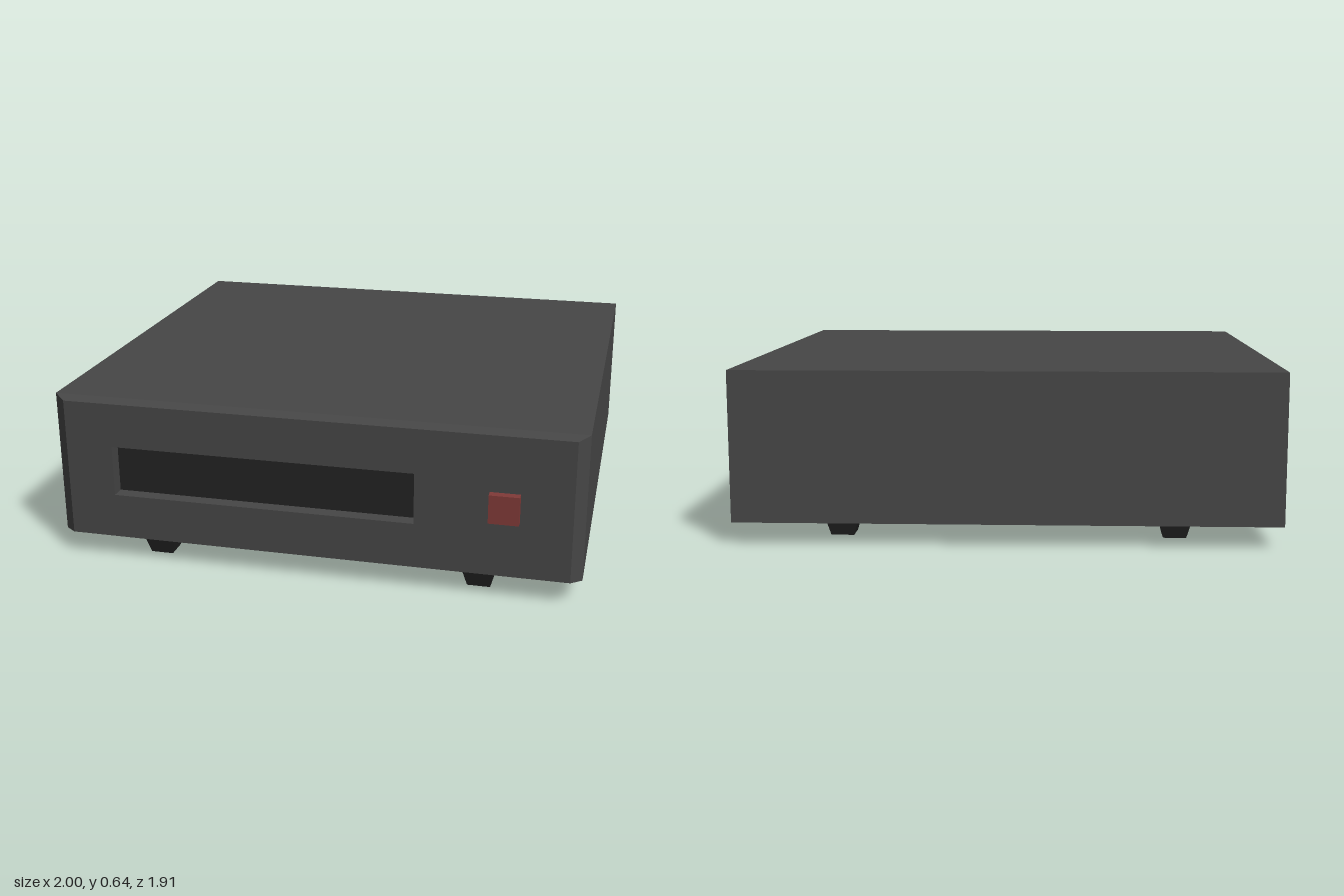
import * as THREE from 'three';

const mat = (color) => new THREE.MeshStandardMaterial({ color, flatShading: true });

// Skin over a row of rectangles [x0, x1, y0, y1, z], closed at the first one
function rectLoft(rects) {
  const loops = rects.map(([x0, x1, y0, y1, z]) => [[x0, y0, z], [x1, y0, z], [x1, y1, z], [x0, y1, z]]);
  const pos = [];
  const quad = (a, b, c, d) => pos.push(...a, ...b, ...c, ...a, ...c, ...d);
  const [p, q, r, s] = loops[0];
  quad(s, r, q, p);
  for (let i = 0; i < loops.length - 1; i++) {
    for (let j = 0; j < 4; j++) {
      const k = (j + 1) % 4;
      quad(loops[i][j], loops[i][k], loops[i + 1][k], loops[i + 1][j]);
    }
  }
  const geo = new THREE.BufferGeometry();
  geo.setAttribute('position', new THREE.Float32BufferAttribute(pos, 3));
  geo.computeVertexNormals();
  return geo;
}

export function createModel() {
  const group = new THREE.Group();
  const add = (name, geo, material, x = 0, y = 0, z = 0) => {
    const mesh = new THREE.Mesh(geo, material);
    mesh.name = name;
    mesh.position.set(x, y, z);
    group.add(mesh);
    return mesh;
  };
  const black = mat(0x222222);
  const win = [-0.765, 0.39, 0.265, 0.46];
  const face = 0.923, recess = 0.87;

  // Casing: box, chamfered front, and the walls of the window recess
  add('casing', rectLoft([
    [-1, 1, 0.083, 0.64, -0.955],
    [-1, 1, 0.083, 0.64, 0.872],
    [-0.947, 0.96, 0.093, 0.63, face],
    [...win, face],
    [...win, recess],
  ]), mat(0x464646));

  // Dark pane at the back of the recess
  add('displayWindow', new THREE.PlaneGeometry(win[1] - win[0], win[3] - win[2]), black,
    (win[0] + win[1]) / 2, (win[2] + win[3]) / 2, recess);

  // Push button
  add('powerButton', new THREE.BoxGeometry(0.11, 0.108, 0.04), mat(0x803a38), 0.717, 0.363, 0.935);

  // Tapered square feet
  const footGeo = new THREE.CylinderGeometry(0.066 * Math.SQRT2, 0.043 * Math.SQRT2, 0.084, 4);
  footGeo.rotateY(Math.PI / 4);
  for (const x of [-0.622, 0.622]) {
    for (const z of [0.795, -0.745]) {
      add(`${z > 0 ? 'front' : 'back'}${x > 0 ? 'Left' : 'Right'}Foot`, footGeo, black, x, 0.042, z);
    }
  }
  return group;
}
